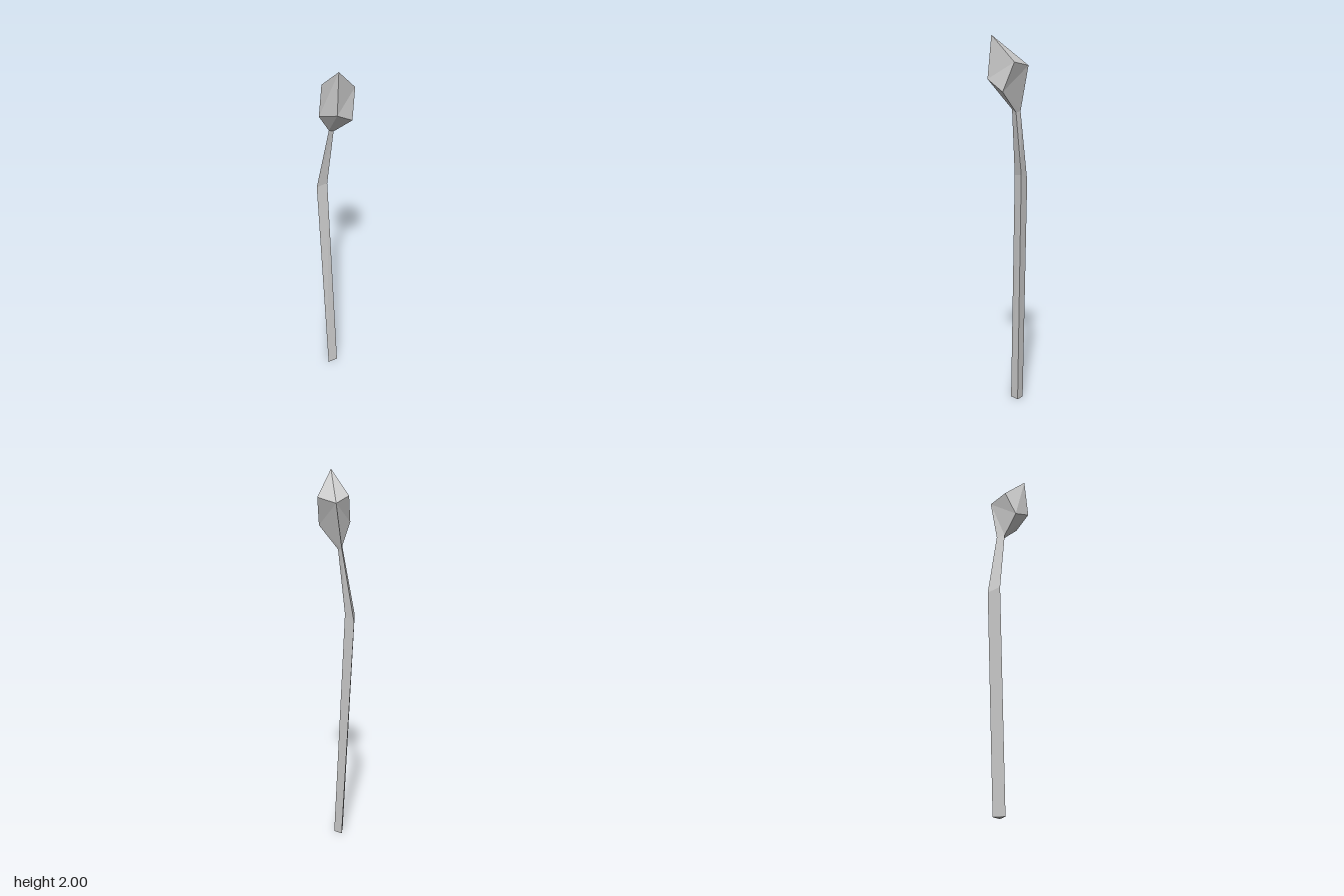
import * as THREE from 'three';

// Flat-shaded mesh from convex polygons whose corners run counter-clockwise seen from outside
function facetMesh(name, polygons) {
  const pos = [];
  for (const p of polygons) {
    for (let i = 1; i < p.length - 1; i++) pos.push(...p[0], ...p[i], ...p[i + 1]);
  }
  const geo = new THREE.BufferGeometry();
  geo.setAttribute('position', new THREE.Float32BufferAttribute(pos, 3));
  geo.computeVertexNormals();
  const mat = new THREE.MeshStandardMaterial({ color: 0xcccccc, flatShading: true });
  const mesh = new THREE.Mesh(geo, mat);
  mesh.name = name;
  return mesh;
}

export function createModel() {
  const group = new THREE.Group();
  group.name = 'bud on stem';

  // Stem: three triangular rings (left, front right, back right), bottom to top
  const rings = [
    [[-0.013, 0, -0.012], [0.043, 0, 0], [0.038, 0, -0.052]],
    [[-0.038, 1.25, -0.075], [0.02, 1.26, -0.058], [0.014, 1.22, -0.118]],
    [[-0.007, 1.613, -0.013], [0.022, 1.598, -0.01], [0.027, 1.603, -0.042]],
  ];
  const stem = [[...rings[0]].reverse()];
  for (let r = 0; r < 2; r++) {
    for (let i = 0; i < 3; i++) {
      const j = (i + 1) % 3;
      stem.push([rings[r][i], rings[r][j], rings[r + 1][j], rings[r + 1][i]]);
    }
  }
  group.add(facetMesh('stem', stem));

  // Bud: skewed box whose lowest corner is cut off where the stem joins
  const [neckLeft, neckFront, neckBack] = rings[2];
  const tip = [-0.048, 2, 0.106];
  const topFront = [0.082, 1.865, 0.08];
  const topBack = [0.075, 1.843, -0.047];
  const topLeft = [-0.035, 1.872, -0.035];
  const lowFrontLeft = [-0.066, 1.775, 0.117];
  const lowFrontRight = [0.034, 1.713, 0.116];
  const lowLeft = [-0.084, 1.728, 0.001];
  group.add(facetMesh('bud', [
    [tip, topFront, topBack, topLeft],
    [lowFrontLeft, lowFrontRight, topFront, tip],
    [lowLeft, lowFrontLeft, tip, topLeft],
    [lowFrontRight, neckFront, neckBack, topBack, topFront],
    [lowFrontLeft, lowLeft, neckLeft, neckFront, lowFrontRight],
    [topBack, neckBack, neckLeft, lowLeft, topLeft],
  ]));
  return group;
}
